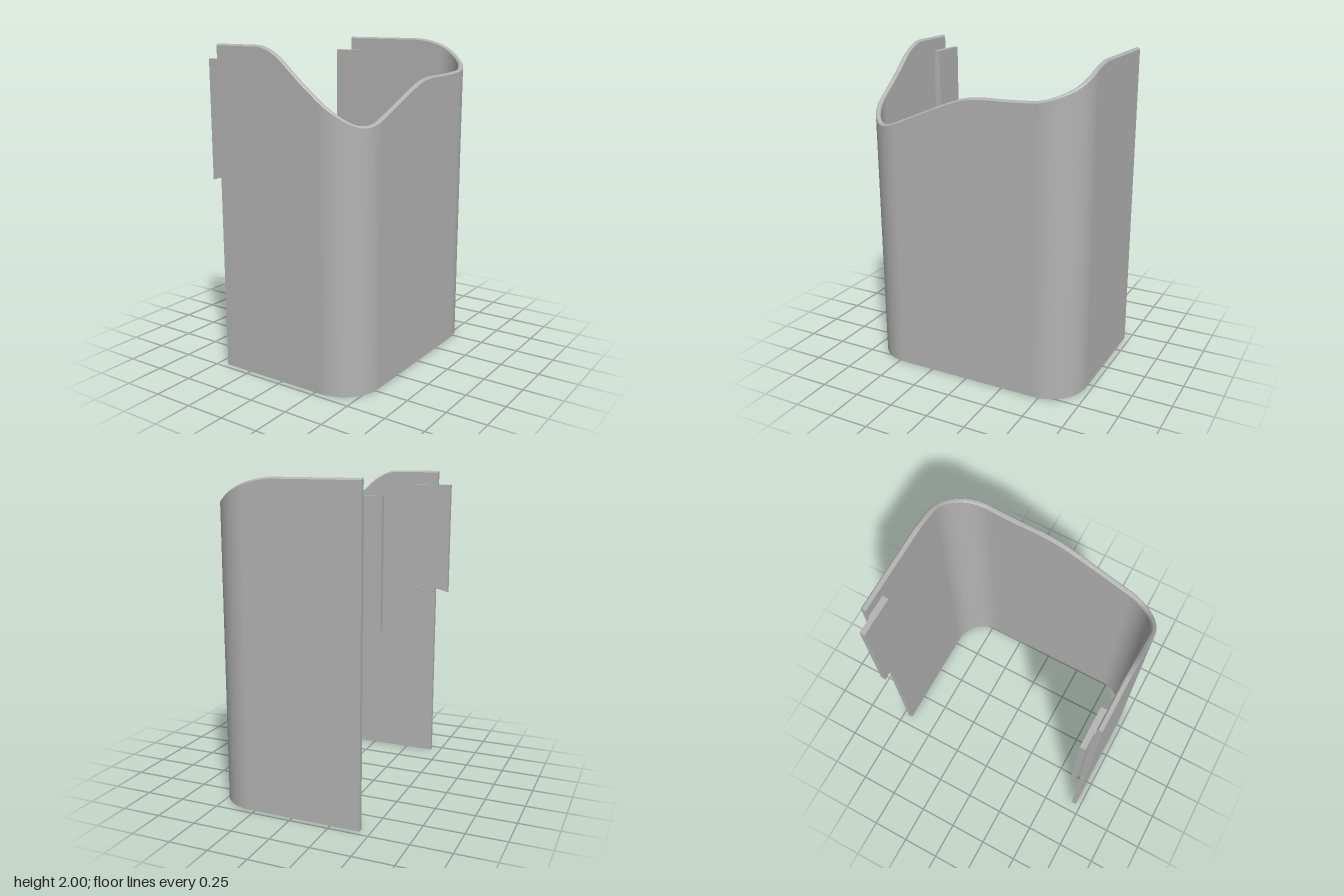
import * as THREE from 'three';
import { toCreasedNormals } from 'three/addons/utils/BufferGeometryUtils.js';

const grey = new THREE.MeshStandardMaterial({ color: 0xb4b4b4 });
grey.name = 'grey';

const X0 = -0.435, X1 = 0.535, Z = 0.715, R = 0.25, T = 0.031;
const LEG = X1 - R - X0, ARC = R * Math.PI / 2, SIDE = 2 * (Z - R);

// Point and outward normal at distance s along the outer U-shaped outline
function outline(s) {
  const corner = (cz, a) => {
    const nx = Math.sin(a), nz = Math.cos(a);
    return { x: X1 - R + R * nx, z: cz + R * nz, nx, nz };
  };
  if (s <= LEG) return { x: X0 + s, z: Z, nx: 0, nz: 1 };
  s -= LEG;
  if (s <= ARC) return corner(Z - R, s / R);
  s -= ARC;
  if (s <= SIDE) return { x: X1, z: Z - R - s, nx: 1, nz: 0 };
  s -= SIDE;
  if (s <= ARC) return corner(R - Z, Math.PI / 2 + s / R);
  s -= ARC;
  return { x: X1 - R - s, z: -Z, nx: 0, nz: -1 };
}

// Height of the flowing rim against distance along the outline
const rim = new THREE.CatmullRomCurve3([
  [0, 2], [0.28, 2], [0.33, 1.996], [0.39, 1.975], [0.45, 1.94], [0.52, 1.88], [0.6, 1.81],
  [0.72, 1.716], [0.8, 1.66], [0.875, 1.615], [0.94, 1.586], [1.004, 1.577], [1.06, 1.585],
  [1.113, 1.602], [1.278, 1.67], [1.478, 1.752], [1.578, 1.785], [1.678, 1.8], [1.878, 1.804],
  [2.043, 1.814], [2.12, 1.83], [2.186, 1.852], [2.255, 1.878], [2.32, 1.91], [2.37, 1.935],
  [2.436, 1.964], [2.52, 1.987], [2.6, 1.999], [2.68, 2], [2 * LEG + 2 * ARC + SIDE, 2],
].map(([s, y]) => new THREE.Vector3(s, y, 0)));

// Wall: a thin section with a softened top, swept round the outline
function wallGeometry() {
  const pos = [], index = [], N = 6;
  const stations = rim.getPoints(174);
  for (const p of stations) {
    const o = outline(p.x), h = Math.min(p.y, 2);
    const section = [[0, 0], [0, h - 0.01], [0.008, h], [T - 0.008, h], [T, h - 0.01], [T, 0]];
    for (const [d, y] of section) pos.push(o.x - o.nx * d, y, o.z - o.nz * d);
  }
  const last = (stations.length - 1) * N;
  for (let i = 0; i < last; i += N) {
    for (let j = 0; j < N; j++) {
      const k = (j + 1) % N;
      index.push(i + j, i + N + j, i + N + k, i + j, i + N + k, i + k);
    }
  }
  for (let j = 1; j < N - 1; j++) {
    index.push(0, j, j + 1, last, last + j + 1, last + j);
  }
  const g = new THREE.BufferGeometry();
  g.setAttribute('position', new THREE.Float32BufferAttribute(pos, 3));
  g.setIndex(index);
  return toCreasedNormals(g, 0.4);
}

// Flat plate lying between two depths
function plate(shape, z0, z1, name) {
  const g = new THREE.ExtrudeGeometry(shape, { depth: z1 - z0, bevelEnabled: false, curveSegments: 12 });
  g.translate(0, 0, z0);
  const mesh = new THREE.Mesh(toCreasedNormals(g, 0.4), grey);
  mesh.name = name;
  return mesh;
}

// Tab with an arched lower edge
function tabShape() {
  const s = new THREE.Shape();
  s.moveTo(-0.535, 1.91);
  s.lineTo(-0.535, 1.18);
  s.quadraticCurveTo(-0.4125, 1.226, -0.29, 1.18);
  s.lineTo(-0.29, 1.91);
  s.closePath();
  return s;
}

// Joining layer with small teeth along its lower edge
function joinShape() {
  const s = new THREE.Shape(), teeth = 4, w = 0.145 / teeth;
  s.moveTo(-0.435, 1.91);
  for (let i = 0; i < teeth; i++) {
    const x = -0.435 + i * w;
    s.lineTo(x, 1.19);
    s.lineTo(x + w * 0.5, 1.165);
    s.lineTo(x + w, 1.175);
  }
  s.lineTo(-0.29, 1.91);
  s.closePath();
  return s;
}

export function createModel() {
  const model = new THREE.Group();
  const wall = new THREE.Mesh(wallGeometry(), grey);
  wall.name = 'wall';
  model.add(wall);

  // Tabs inside both open ends
  for (const side of [1, -1]) {
    const g = new THREE.Group();
    g.name = side > 0 ? 'frontTab' : 'backTab';
    const span = (a, b) => (side > 0 ? [a, b] : [-b, -a]);
    g.add(plate(tabShape(), ...span(0.645, 0.677), 'tabPlate'));
    g.add(plate(joinShape(), ...span(0.676, 0.685), 'tabJoin'));
    model.add(g);
  }
  return model;
}
